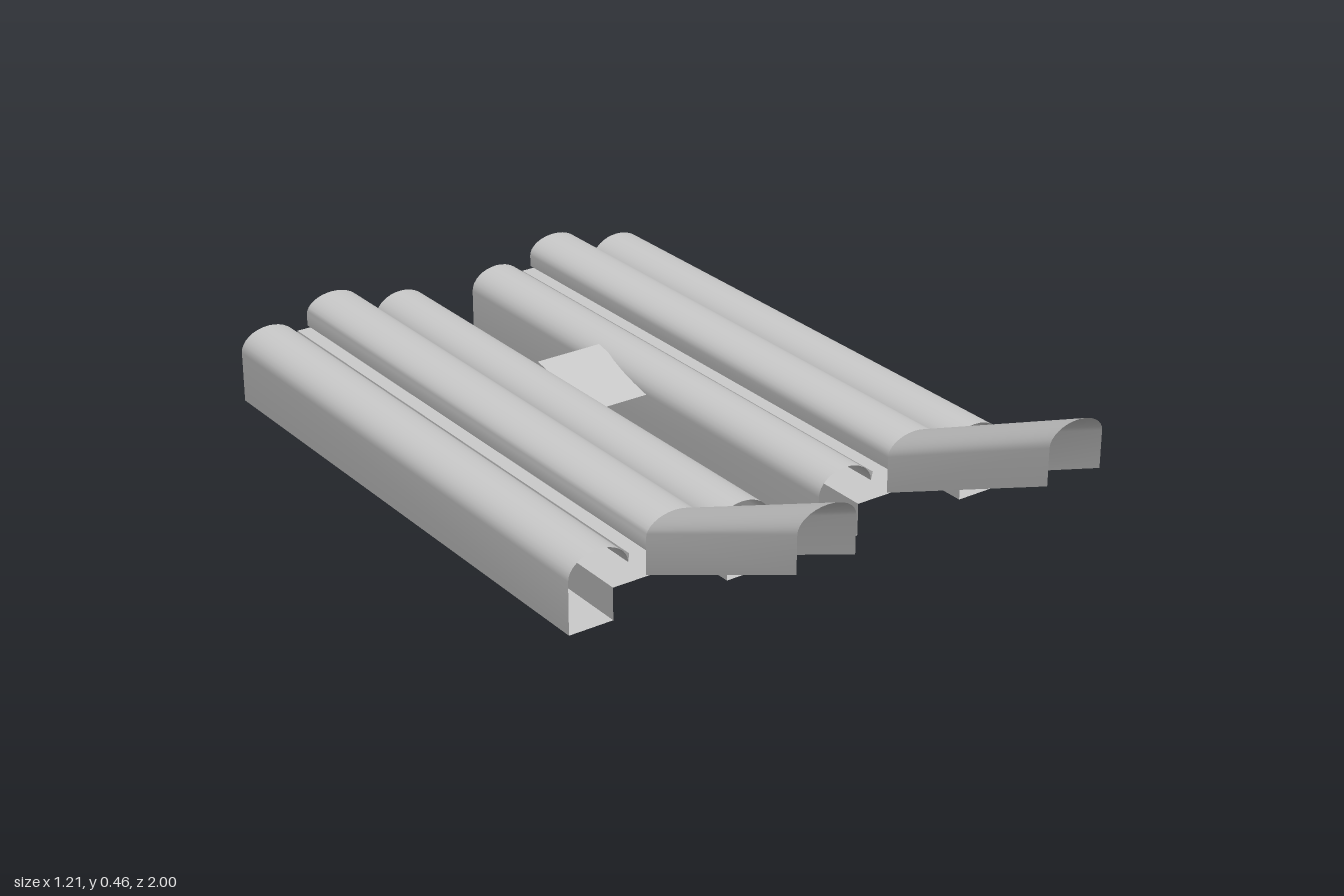
import * as THREE from 'three';
import { toCreasedNormals } from 'three/addons/utils/BufferGeometryUtils.js';

const material = new THREE.MeshStandardMaterial({ color: 0xcccccc, side: THREE.DoubleSide });

// Half-ellipse arch running from x0 to x1 above the height y
function arch(x0, x1, y, rise, steps = 16) {
  const points = [];
  for (let i = 0; i <= steps; i++) {
    const a = (Math.PI * i) / steps;
    points.push([(x0 + x1) / 2 + ((x0 - x1) / 2) * Math.cos(a), y + rise * Math.sin(a)]);
  }
  return points;
}

// Open sheet: a profile of [x, y] swept through stations of [z, lift]
function sweep(name, profile, stations) {
  const positions = [];
  const index = [];
  const n = profile.length;
  for (const [z, lift] of stations) {
    for (const [x, y] of profile) positions.push(x, y + lift, z);
  }
  for (let s = 0; s < stations.length - 1; s++) {
    for (let i = 0; i < n - 1; i++) {
      const a = s * n + i;
      index.push(a, a + n, a + 1, a + 1, a + n, a + n + 1);
    }
  }
  const geometry = new THREE.BufferGeometry();
  geometry.setAttribute('position', new THREE.Float32BufferAttribute(positions, 3));
  geometry.setIndex(index);
  const mesh = new THREE.Mesh(toCreasedNormals(geometry, 0.6), material);
  mesh.name = name;
  return mesh;
}

function createHalf(side) {
  const half = new THREE.Group();
  half.name = side > 0 ? 'leftPontoon' : 'rightPontoon';
  const body = [[0.47, 0], [-0.985, 0]];
  const middle = [[0.26, 0.15], ...arch(0.26, 0.41, 0.18, 0.045), [0.41, 0.15]];
  const parts = [
    // Rounded side floats joined to the middle tube by narrow valleys
    ['innerFloatTop', [[0.07, 0], ...arch(0.07, 0.22, 0.13, 0.055), [0.225, 0.15], [0.26, 0.15]], body],
    ['outerFloatTop', [[0.41, 0.15], [0.447, 0.15], ...arch(0.45, 0.605, 0.13, 0.055), [0.605, 0]], body],
    // Channel underside with the raised plate between the floats
    ['underside', [[0.07, 0], [0.185, 0], [0.185, 0.08], [0.49, 0.08], [0.49, 0], [0.605, 0]], body],
    ['middleTube', middle, [[0.48, 0], [-1, 0]]],
    // Open-bottomed arm rising towards the front
    ['frontArm', [[0.26, 0.09], ...arch(0.26, 0.41, 0.18, 0.045), [0.41, 0.09]], [[1, 0.23], [0.48, 0]]],
  ];
  for (const [name, profile, stations] of parts) {
    half.add(sweep(name, profile.map(([x, y]) => [x * side, y]), stations));
  }
  return half;
}

export function createModel() {
  const model = new THREE.Group();
  model.name = 'twinPontoon';
  for (const side of [1, -1]) model.add(createHalf(side));

  // Sloping link between the two inner floats
  const link = sweep('connector', [[-0.09, 0.13], [0.09, 0.13]], [[-0.2, 0], [-0.43, 0.045]]);
  model.add(link);
  return model;
}
